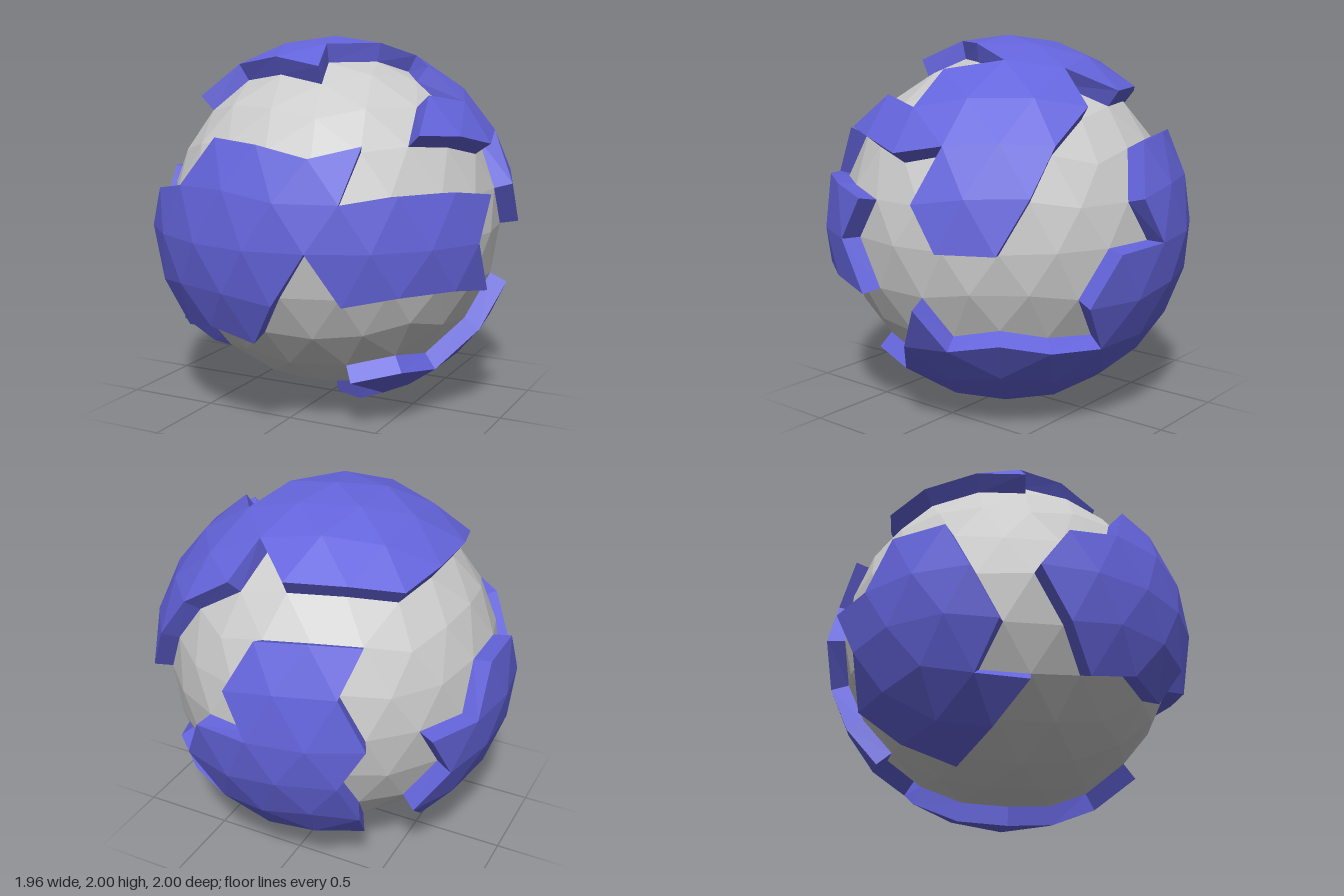
import * as THREE from 'three';

const BASE = 0.9, RAISE = 0.1;
const vec = (x, y, z) => new THREE.Vector3(x, y, z);
const key = (p) => p.toArray().map((n) => Math.round(n * 1000) + 0).join();

// Corner directions of each raised plate, seen from the ball's centre
const plates = {
  frontPlate: [
    [-.263, .526, .809], [.276, .447, .851], [.51, .506, .7], [.449, .232, .863], [.671, .276, .688],
    [.861, .276, .426], [.96, .232, .16], [.951, 0, .309], [.947, -.276, .162], [.87, -.232, .434],
    [.682, -.232, .694], [.447, -.276, .851], [.309, 0, .951], [.139, -.276, .951], [0, -.506, .86],
    [-.276, -.447, .851], [-.51, -.506, .7], [-.671, -.276, .688], [-.809, 0, .588],
    [-.682, .232, .694], [-.447, .276, .851]],
  topPlate: [
    [.688, .526, .5], [.638, .724, .263], [.738, .675, 0], [.526, .851, 0], [.362, .895, -.263],
    [.273, .962, 0], [.084, .962, .26], [.163, .851, .5], [-.138, .895, .425], [-.426, .851, .309],
    [-.597, .675, .434], [-.671, .724, .162], [-.671, .724, -.162], [-.597, .675, -.434],
    [-.362, .724, -.588], [-.053, .724, -.688], [.163, .851, -.5], [.228, .675, -.7],
    [.51, .506, -.7], [.671, .276, -.688], [.809, 0, -.588], [.951, 0, -.309], [.96, .232, -.16],
    [.823, .506, -.26], [.894, .447, 0], [.823, .506, .26]],
  bottomBackPlate: [
    [.362, -.724, .588], [.597, -.675, .434], [.671, -.724, .162], [.851, -.526, 0],
    [.947, -.276, -.162], [.823, -.506, -.26], [.723, -.447, -.525], [.51, -.506, -.7],
    [.263, -.526, -.809], [.447, -.276, -.851], [.309, 0, -.951], [0, 0, -1], [.144, .232, -.963],
    [0, .506, -.86], [-.263, .526, -.809], [-.51, .506, -.7], [-.447, .276, -.851],
    [-.588, 0, -.809], [-.449, -.232, -.863], [-.51, -.506, -.7], [-.362, -.724, -.588],
    [-.228, -.675, -.7], [.053, -.724, -.688], [-.163, -.851, -.5], [-.084, -.962, -.26],
    [0, -1, 0], [.223, -.962, .162], [.426, -.851, .309]],
  sidePlate: [
    [-.947, .276, .162], [-.951, 0, .309], [-.861, -.276, .426], [-.823, -.506, .26],
    [-.688, -.526, .5], [-.638, -.724, .263], [-.526, -.851, 0], [-.638, -.724, -.263],
    [-.688, -.526, -.5], [-.861, -.276, -.426], [-.809, 0, -.588], [-.951, 0, -.309],
    [-.947, .276, -.162]],
};

// Triangles of a ball: an icosahedron standing on a corner, split twice
function ballFaces() {
  const ring = (deg, y) => (k) => {
    const a = THREE.MathUtils.degToRad(deg + 72 * k), r = Math.sqrt(0.8);
    return vec(r * Math.sin(a), y, r * Math.cos(a));
  };
  const up = ring(18, Math.sqrt(0.2)), low = ring(54, -Math.sqrt(0.2));
  let faces = [];
  for (let k = 0; k < 5; k++) {
    faces.push([vec(0, 1, 0), up(k), up(k + 1)], [up(k), low(k), up(k + 1)],
      [low(k), low(k + 1), up(k + 1)], [vec(0, -1, 0), low(k + 1), low(k)]);
  }
  const mid = (a, b) => a.clone().add(b).normalize();
  for (let i = 0; i < 2; i++) {
    faces = faces.flatMap(([a, b, c]) => {
      const ab = mid(a, b), bc = mid(b, c), ca = mid(c, a);
      return [[a, ab, ca], [ab, b, bc], [ca, bc, c], [ab, bc, ca]];
    });
  }
  return faces;
}

// Returns a test for directions that lie inside an outline on the ball
function insideTest(outline) {
  const pts = outline.map((p) => vec(...p).normalize());
  const centre = pts.reduce((s, p) => s.add(p), vec(0, 0, 0)).normalize();
  const turn = new THREE.Quaternion().setFromUnitVectors(centre, vec(0, 0, 1));
  const flat = (p) => {
    const q = p.clone().applyQuaternion(turn);
    return [q.x / (1 + q.z), q.y / (1 + q.z)];
  };
  const poly = pts.map(flat);
  return (p) => {
    const [x, y] = flat(p);
    let inside = false;
    poly.forEach(([x1, y1], i) => {
      const [x2, y2] = poly[(i + 1) % poly.length];
      if ((y1 > y) !== (y2 > y) && x < x1 + (x2 - x1) * (y - y1) / (y2 - y1)) inside = !inside;
    });
    return inside;
  };
}

function makeMesh(name, triangles, color) {
  const geo = new THREE.BufferGeometry().setFromPoints(triangles.flat());
  geo.computeVertexNormals();
  const mesh = new THREE.Mesh(geo, new THREE.MeshStandardMaterial({ color, flatShading: true }));
  mesh.name = name;
  return mesh;
}

// Lifts a patch of faces along its own averaged normals and walls its border
function platePatch(faces) {
  const normals = new Map(), edges = new Set();
  for (const f of faces) {
    const n = new THREE.Triangle(...f).getNormal(vec(0, 0, 0));
    f.forEach((p, i) => {
      const k = key(p);
      if (!normals.has(k)) normals.set(k, vec(0, 0, 0));
      normals.get(k).add(n);
      edges.add(k + '|' + key(f[(i + 1) % 3]));
    });
  }
  const base = (p) => p.clone().multiplyScalar(BASE);
  const top = (p) => base(p).addScaledVector(normals.get(key(p)).clone().normalize(), RAISE);
  const out = [];
  for (const f of faces) {
    out.push(f.map(top));
    f.forEach((a, i) => {
      const b = f[(i + 1) % 3];
      if (edges.has(key(b) + '|' + key(a))) return;
      out.push([base(a), base(b), top(b)], [base(a), top(b), top(a)]);
    });
  }
  return out;
}

export function createModel() {
  const model = new THREE.Group();
  model.name = 'platedBall';
  const faces = ballFaces();

  // Core ball
  model.add(makeMesh('coreBall', faces.map((f) => f.map((p) => p.clone().multiplyScalar(BASE))), 0xcccccc));

  // Raised plates
  for (const [name, outline] of Object.entries(plates)) {
    const inside = insideTest(outline);
    const patch = faces.filter(([a, b, c]) => inside(a.clone().add(b).add(c).normalize()));
    model.add(makeMesh(name, platePatch(patch), 0x6464dc));
  }

  // Stand on the ground, centred
  const box = new THREE.Box3().setFromObject(model);
  const c = box.getCenter(vec(0, 0, 0));
  model.children.forEach((m) => m.geometry.translate(-c.x, -box.min.y, -c.z));
  return model;
}
